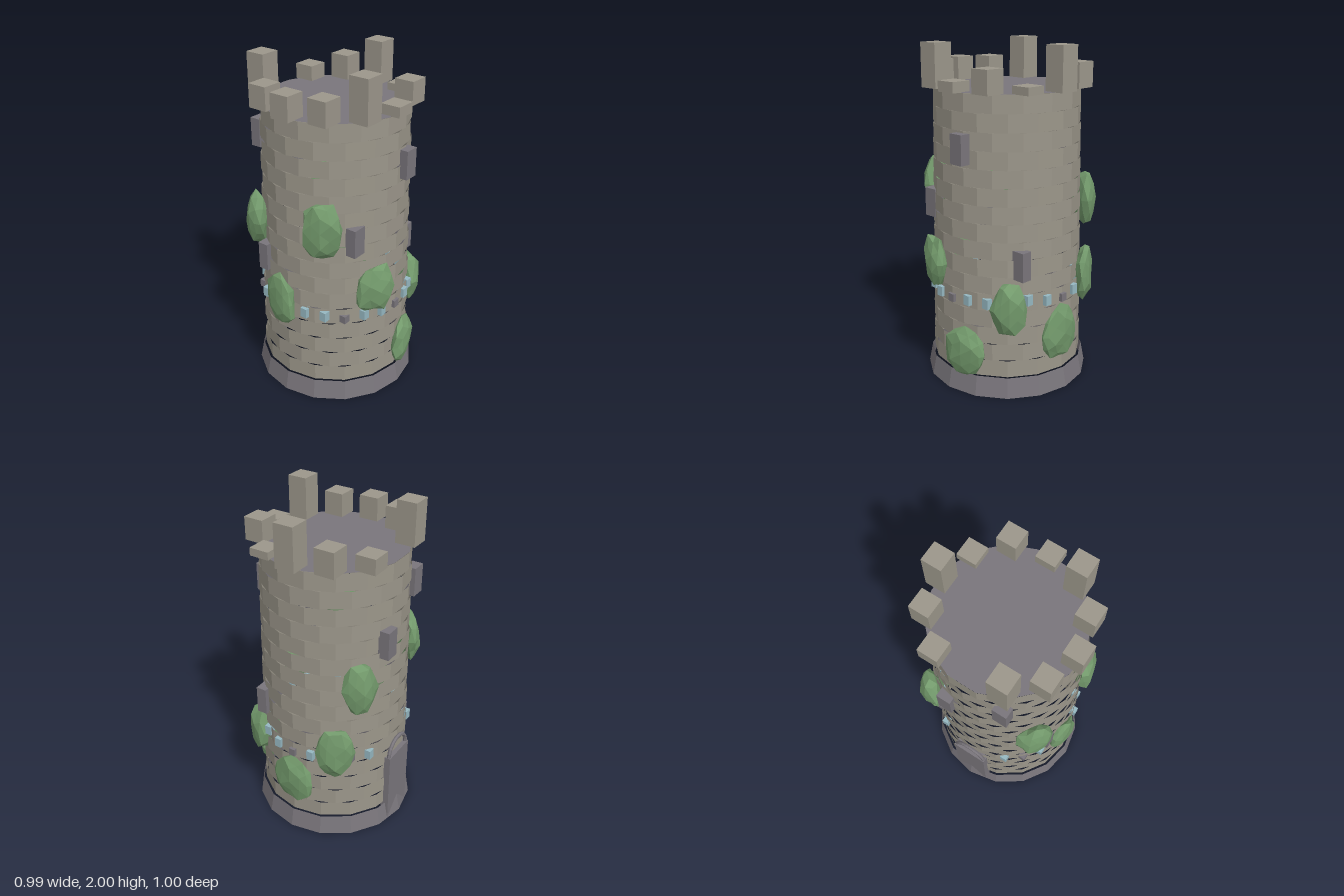
import * as THREE from 'three';
import { mergeVertices } from 'three/addons/utils/BufferGeometryUtils.js';

export function createModel() {
  const model = new THREE.Group();
  model.name = 'ruinedTower';

  const material = (name, color) => {
    const m = new THREE.MeshStandardMaterial({ color, flatShading: true, side: THREE.DoubleSide });
    m.name = name;
    return m;
  };
  const stone = material('paleStone', 0x9b968a);
  const slate = material('darkStone', 0x79757b);
  const leaf = material('ivyGreen', 0x739a6c);
  const glass = material('paleBlue', 0x95b7c1);

  const add = (name, geometry, mat, x = 0, y = 0, z = 0) => {
    const mesh = new THREE.Mesh(geometry, mat);
    mesh.name = name;
    mesh.position.set(x, y, z);
    model.add(mesh);
    return mesh;
  };
  const box = (name, mat, w, h, d, x, y, z) =>
    add(name, new THREE.BoxGeometry(w, h, d), mat, x, y, z);

  // Small seeded generator for the irregular parts
  let seed = 11;
  const random = () => (seed = (seed * 16807) % 2147483647) / 2147483647;

  // Open flared footing
  const SIDES = 16;
  add('footing', new THREE.CylinderGeometry(0.47, 0.493, 0.12, SIDES, 1, true), slate, 0, 0.06, 0);

  // Courses of stone, every other one turned by half a block
  const COURSES = 16, BOTTOM = 0.12, TOP = 1.75;
  const courseHeight = (TOP - BOTTOM) / COURSES;
  for (let i = 0; i < COURSES; i++) {
    const r = 0.456 - 0.028 * (i / (COURSES - 1));
    const course = add('stoneCourse', new THREE.CylinderGeometry(r, r, courseHeight, SIDES, 1, true),
      stone, 0, BOTTOM + (i + 0.5) * courseHeight, 0);
    course.rotation.y = (i % 2) * Math.PI / SIDES;
  }

  // Flat roof
  const roof = add('roof', new THREE.CircleGeometry(0.428, SIDES), slate, 0, TOP + 0.002, 0);
  roof.rotation.x = -Math.PI / 2;
  roof.rotation.z = Math.PI / SIDES;

  // Broken battlements: top of each block, every 30 degrees from the front; one is missing
  const tops = [1.81, 1.885, 1.795, 2, 1.895, 1.84, 0, 2, 1.885, 1.89, 1.89, 2];
  tops.forEach((top, i) => {
    if (!top) return;
    const a = i * Math.PI / 6, h = top - TOP;
    box('battlement', stone, 0.12, h, 0.12, 0.41 * Math.sin(a), TOP + h / 2, 0.41 * Math.cos(a));
  });

  // Shuttered windows
  const windows = [
    [0.075, 1.45, 0.44], [-0.263, 1.07, 0.345], [0.362, 0.805, 0.255],
    [0.125, 1.295, -0.425], [-0.215, 1.53, -0.385], [-0.39, 0.85, -0.2],
  ];
  for (const [x, y, z] of windows) box('window', slate, 0.088, 0.17, 0.065, x, y, z);

  // Band of small square blocks, every third one dark, interrupted by the door
  for (let i = 0; i < 24; i++) {
    const jitter = (random() - 0.5) * 0.04;
    if (Math.abs(i - 12) < 2) continue;
    const a = i * Math.PI / 12, x = 0.443 * Math.sin(a), z = 0.443 * Math.cos(a);
    if (i % 3 === 0) box('darkBandBlock', slate, 0.045, 0.047, 0.04, x, 0.567, z);
    else box('blueBandBlock', glass, 0.042, 0.06, 0.042, x, 0.58 + jitter, z);
  }

  // Back door with an arch above it
  box('door', slate, 0.225, 0.48, 0.05, 0, 0.24, -0.445);
  add('doorArch', new THREE.TorusGeometry(0.1, 0.012, 6, 12, Math.PI), slate, 0, 0.48, -0.455);

  // Ivy clumps: centre, half width along the wall, half height, half depth
  const clumps = [
    [-0.395, 1.15, 0.215, 0.12, 0.18, 0.065],
    [-0.172, 0.75, 0.425, 0.135, 0.165, 0.06],
    [0.095, 0.25, 0.445, 0.145, 0.155, 0.055],
    [0.335, 0.55, 0.325, 0.105, 0.168, 0.07],
    [0.445, 0.35, 0.01, 0.145, 0.172, 0.045],
    [-0.45, 0.62, -0.055, 0.115, 0.185, 0.045],
    [0.395, 0.635, -0.26, 0.115, 0.18, 0.055],
    [0.3, 1.065, -0.365, 0.105, 0.17, 0.07],
    [-0.37, 1.06, -0.295, 0.11, 0.17, 0.07],
  ];
  for (const [x, y, z, w, h, d] of clumps) {
    const ball = new THREE.IcosahedronGeometry(1, 1);
    ball.deleteAttribute('normal');
    ball.deleteAttribute('uv');
    const geometry = mergeVertices(ball, 1e-3);
    const p = geometry.attributes.position;
    for (let i = 0; i < p.count; i++) {
      const s = 0.84 + 0.24 * random();
      p.setXYZ(i, p.getX(i) * s * w, p.getY(i) * s * h, p.getZ(i) * s * d);
    }
    geometry.computeVertexNormals();
    add('ivyClump', geometry, leaf, x, y, z).rotation.y = Math.atan2(x, z);
  }

  model.position.z = -0.004;
  return model;
}
